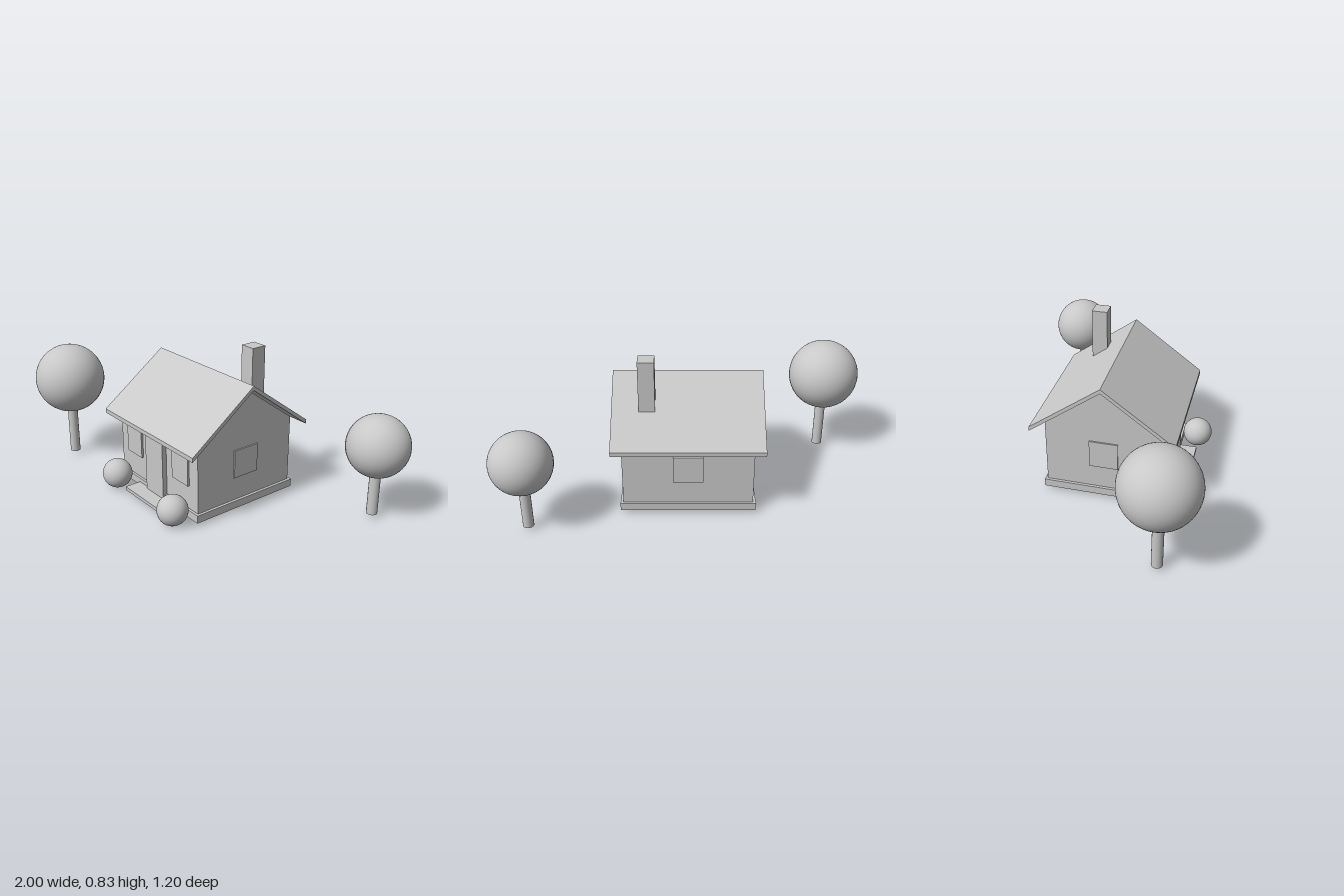
import * as THREE from 'three';

const gray = new THREE.MeshStandardMaterial({ color: 0xc8c8c8 });
gray.name = 'plain light gray';

const HOUSE_Z = 0.017; // middle of the house, under the ridge

export function createModel() {
  const model = new THREE.Group();
  model.name = 'cottageWithTrees';

  const add = (name, geometry, x = 0, y = 0, z = 0, parent = model) => {
    const mesh = new THREE.Mesh(geometry, gray);
    mesh.name = name;
    mesh.position.set(x, y, z);
    parent.add(mesh);
    return mesh;
  };

  // Box given by its lower and upper limits
  const box = (name, [x0, x1], [y0, y1], [z0, z1], parent) =>
    add(name, new THREE.BoxGeometry(x1 - x0, y1 - y0, z1 - z0),
      (x0 + x1) / 2, (y0 + y1) / 2, (z0 + z1) / 2, parent);

  // Profile in (z, y), extruded along x and centred
  const alongX = (points, length) => {
    const shape = new THREE.Shape(points.map(([z, y]) => new THREE.Vector2(-z, y)));
    return new THREE.ExtrudeGeometry(shape, { depth: length, bevelEnabled: false })
      .translate(0, 0, -length / 2).rotateY(Math.PI / 2);
  };

  const house = new THREE.Group();
  house.name = 'house';
  model.add(house);

  // Walls with gable ends
  add('walls', alongX([[-0.313, 0.055], [0.313, 0.055], [0.313, 0.438], [0, 0.666], [-0.313, 0.438]], 0.696),
    0, 0, HOUSE_Z, house);

  // Roof, a folded slab slightly above the walls
  add('roof', alongX([[-0.384, 0.395], [0, 0.676], [0.384, 0.395], [0.384, 0.419], [0, 0.7], [-0.384, 0.419]], 0.8),
    0, 0, HOUSE_Z, house);

  // Foundation, a frame open underneath
  const rect = (path, w, d) => path.moveTo(-w, -d).lineTo(w, -d).lineTo(w, d).lineTo(-w, d).closePath();
  const frame = rect(new THREE.Shape(), 0.363, 0.327);
  frame.holes.push(rect(new THREE.Path(), 0.347, 0.311));
  add('foundation', new THREE.ExtrudeGeometry(frame, { depth: 0.043, bevelEnabled: false }).rotateX(-Math.PI / 2),
    0, 0.02, HOUSE_Z, house);

  // Chimney, door and doorstep
  box('chimney', [0.172, 0.258], [0.53, 0.835], [-0.182, -0.097], house);
  box('door', [-0.078, 0.078], [0.04, 0.358], [0.325, 0.356], house);
  box('doorstep', [-0.165, 0.165], [0.02, 0.04], [0.344, 0.438], house);

  // Windows on all four walls
  const sill = [0.195, 0.35];
  for (const side of [-1, 1]) {
    box('frontWindow', [side * 0.209 - 0.068, side * 0.209 + 0.068], sill, [0.325, 0.341], house);
    box('sideWindow', [side * 0.351 - 0.005, side * 0.351 + 0.005], sill, [-0.059, 0.096], house);
  }
  box('backWindow', [-0.08, 0.08], sill, [-0.304, -0.292], house);

  // Trees with round crowns
  const tree = (name, x, z, crownY, r) => {
    const group = new THREE.Group();
    group.name = name;
    group.position.set(x, 0, z);
    model.add(group);
    const top = crownY - r * 0.85;
    add('trunk', new THREE.CylinderGeometry(0.029, 0.029, top - 0.02, 32), 0, (top + 0.02) / 2, 0, group);
    add('crown', new THREE.SphereGeometry(r, 48, 32), 0, crownY, 0, group);
  };
  tree('largeTree', -0.8, 0.4, 0.489, 0.2);
  tree('smallTree', 0.836, -0.436, 0.404, 0.164);

  // Bushes either side of the door
  for (const side of [-1, 1])
    add('bush', new THREE.SphereGeometry(0.082, 40, 28), side * 0.262, 0.083, 0.427);

  return model;
}
